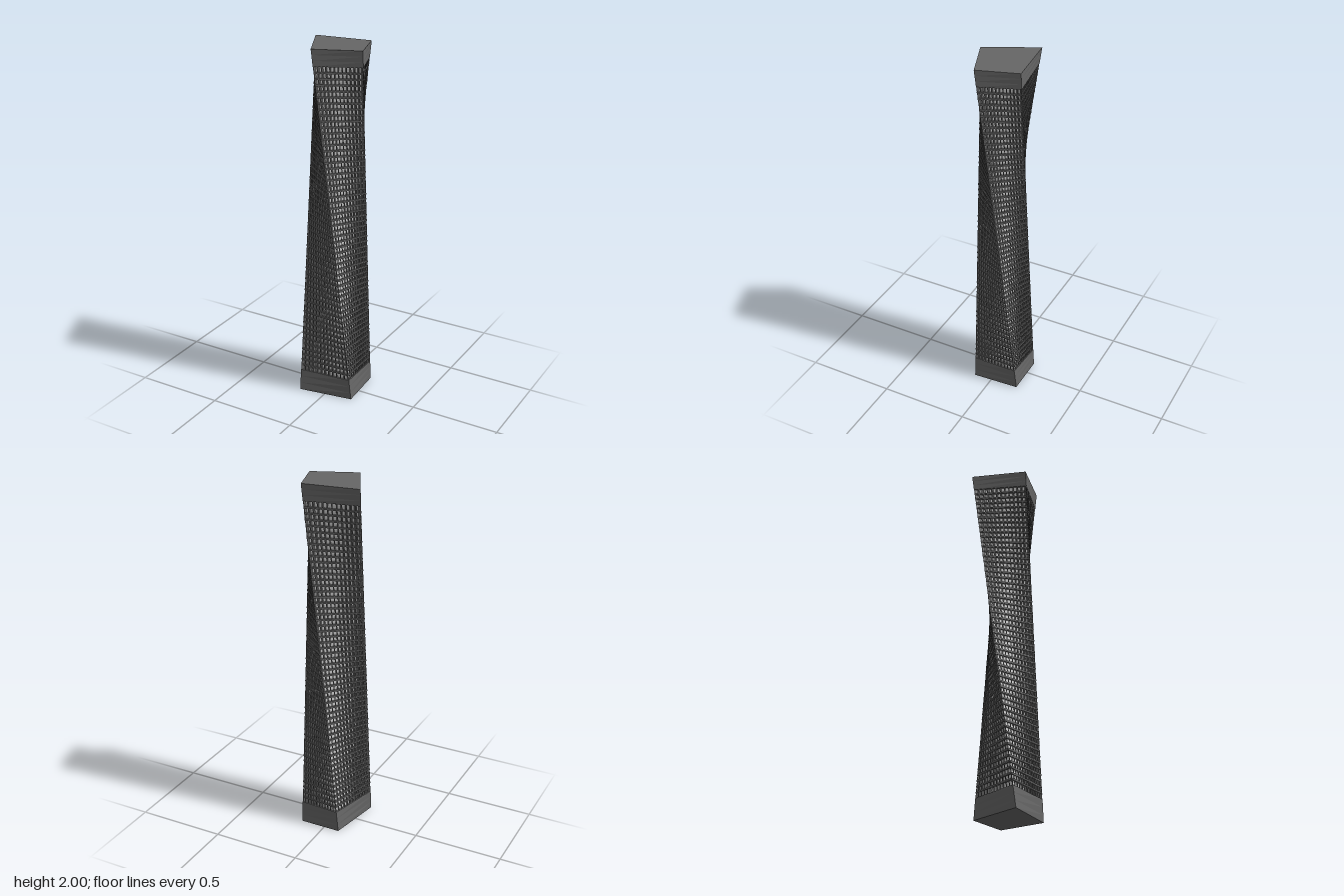
import * as THREE from 'three';
import { mergeGeometries } from 'three/addons/utils/BufferGeometryUtils.js';

// Plan corners [x, z] at the ground and at the roof, counter-clockwise from above
const BOTTOM = [[-0.149, 0.151], [0.158, 0.103], [0.142, -0.16], [-0.09, -0.16]];
const TOP = [[-0.193, -0.122], [-0.055, 0.157], [0.191, 0.061], [0.121, -0.16]];
const HEIGHT = 2, BASE_TOP = 0.12, CROWN_BOTTOM = 1.91;
const FLOORS = 56, COLUMNS = 12, RECESS = 0.01;

const mix = (a, b, t) => [a[0] + (b[0] - a[0]) * t, a[1] + (b[1] - a[1]) * t];

// Four plan corners at height y, pulled inwards by d
function section(y, d = 0) {
  const p = BOTTOM.map((c, i) => mix(c, TOP[i], y / HEIGHT));
  if (!d) return p;
  const dir = (a, b) => {
    const l = Math.hypot(b[0] - a[0], b[1] - a[1]);
    return [(b[0] - a[0]) / l, (b[1] - a[1]) / l];
  };
  return p.map((c, i) => {
    const e = dir(p[(i + 3) % 4], c), f = dir(c, p[(i + 1) % 4]);
    const k = d / Math.abs(e[0] * f[1] - e[1] * f[0]);
    return [c[0] + (f[0] - e[0]) * k, c[1] + (f[1] - e[1]) * k];
  });
}

// Closed solid through four-cornered sections between two heights
function loft(sectionAt, y0, y1, steps) {
  const pos = [];
  const rings = Array.from({ length: steps + 1 }, (_, i) => {
    const y = y0 + (y1 - y0) * i / steps;
    return sectionAt(y).map(([x, z]) => [x, y, z]);
  });
  const quad = (a, b, c, d) => pos.push(...a, ...b, ...c, ...a, ...c, ...d);
  for (let i = 0; i < steps; i++) {
    for (let j = 0; j < 4; j++) {
      const k = (j + 1) % 4;
      quad(rings[i][j], rings[i][k], rings[i + 1][k], rings[i + 1][j]);
    }
  }
  quad(...rings[steps]);
  quad(...[...rings[0]].reverse());
  const g = new THREE.BufferGeometry();
  g.setAttribute('position', new THREE.Float32BufferAttribute(pos, 3));
  g.computeVertexNormals();
  return g;
}

export function createModel() {
  const group = new THREE.Group();
  const dark = new THREE.MeshStandardMaterial({ color: 0x666666 });
  const pane = new THREE.MeshStandardMaterial({ color: 0xcccccc });
  const add = (name, geometry, material) => {
    const mesh = new THREE.Mesh(geometry, material);
    mesh.name = name;
    group.add(mesh);
  };

  // Solid base and crown
  add('base', loft(y => section(y), 0, BASE_TOP, 3), dark);
  add('crown', loft(y => section(y), CROWN_BOTTOM, HEIGHT, 3), dark);

  // Recessed window core
  add('windows', loft(y => section(y, RECESS), BASE_TOP, CROWN_BOTTOM, FLOORS), pane);

  // Horizontal floor bands
  const pitch = (CROWN_BOTTOM - BASE_TOP) / FLOORS, half = pitch * 0.14;
  const bands = [];
  for (let i = 1; i < FLOORS; i++) {
    const y = BASE_TOP + i * pitch;
    bands.push(loft(h => section(h), y - half, y + half, 1));
  }
  add('floorBands', mergeGeometries(bands), dark);

  // Upright mullions following the twist on each face
  const mullions = [];
  const w = 0.14 / COLUMNS;
  for (let face = 0; face < 4; face++) {
    for (let c = 0; c <= COLUMNS; c++) {
      const u0 = Math.max(0, c / COLUMNS - w), u1 = Math.min(1, c / COLUMNS + w);
      const bar = y => {
        const outer = section(y, 0.001), inner = section(y, RECESS + 0.002);
        const at = (s, u) => mix(s[face], s[(face + 1) % 4], u);
        return [at(outer, u0), at(outer, u1), at(inner, u1), at(inner, u0)];
      };
      mullions.push(loft(bar, BASE_TOP, CROWN_BOTTOM, 28));
    }
  }
  add('mullions', mergeGeometries(mullions), dark);

  return group;
}
